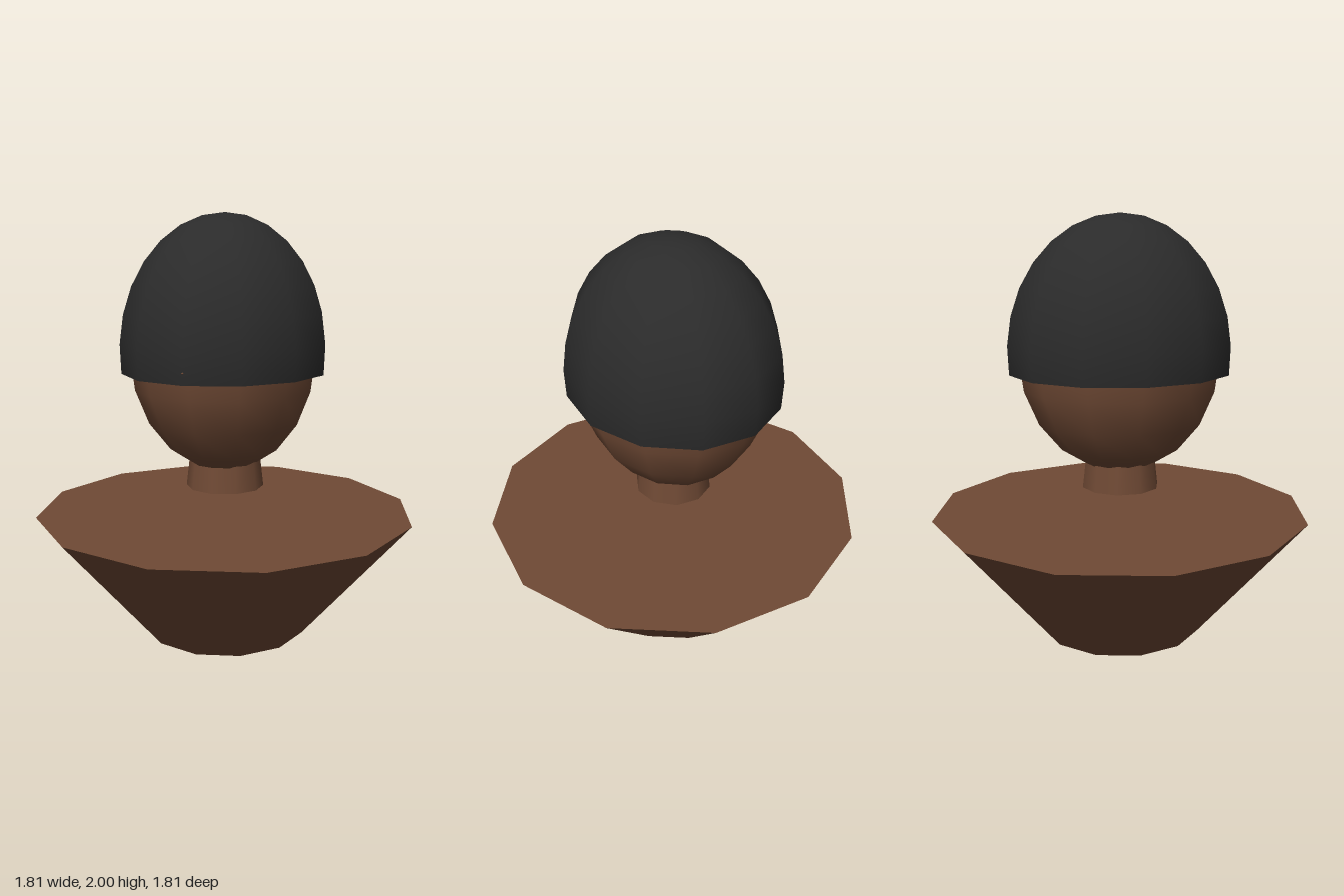
import * as THREE from 'three';

export function createModel() {
  const model = new THREE.Group();
  const skin = new THREE.MeshStandardMaterial({ color: 0x704a35 });
  skin.name = 'brown skin';
  const hairColour = new THREE.MeshStandardMaterial({ color: 0x2b2b2b, side: THREE.DoubleSide });
  hairColour.name = 'black hair';

  function add(name, geometry, material, y, z = 0) {
    const mesh = new THREE.Mesh(geometry, material);
    mesh.name = name;
    mesh.position.set(0, y, z);
    model.add(mesh);
    return mesh;
  }

  // Flared bust and the separate neck floating above it
  add('bust', new THREE.CylinderGeometry(0.905, 0.395, 0.59, 12), skin, 0.295);
  add('neck', new THREE.CylinderGeometry(0.163, 0.186, 0.2, 10), skin, 0.81);

  // Egg-shaped head
  const headY = 1.366;
  add('head', new THREE.SphereGeometry(1, 12, 10), skin, headY).scale.set(0.44, 0.576, 0.484);

  // Open hair shell, slightly larger than the head
  const shell = new THREE.SphereGeometry(1, 12, 8, 0, Math.PI * 2, 0, Math.PI * 0.55);
  add('hair', shell, hairColour, headY).scale.set(0.484, 0.634, 0.533);

  // Small nose whose tip just reaches through the hair
  const nose = new THREE.ConeGeometry(0.035, 0.12, 6).rotateX(Math.PI / 2);
  add('nose', nose, skin, 1.32, 0.483);

  return model;
}
